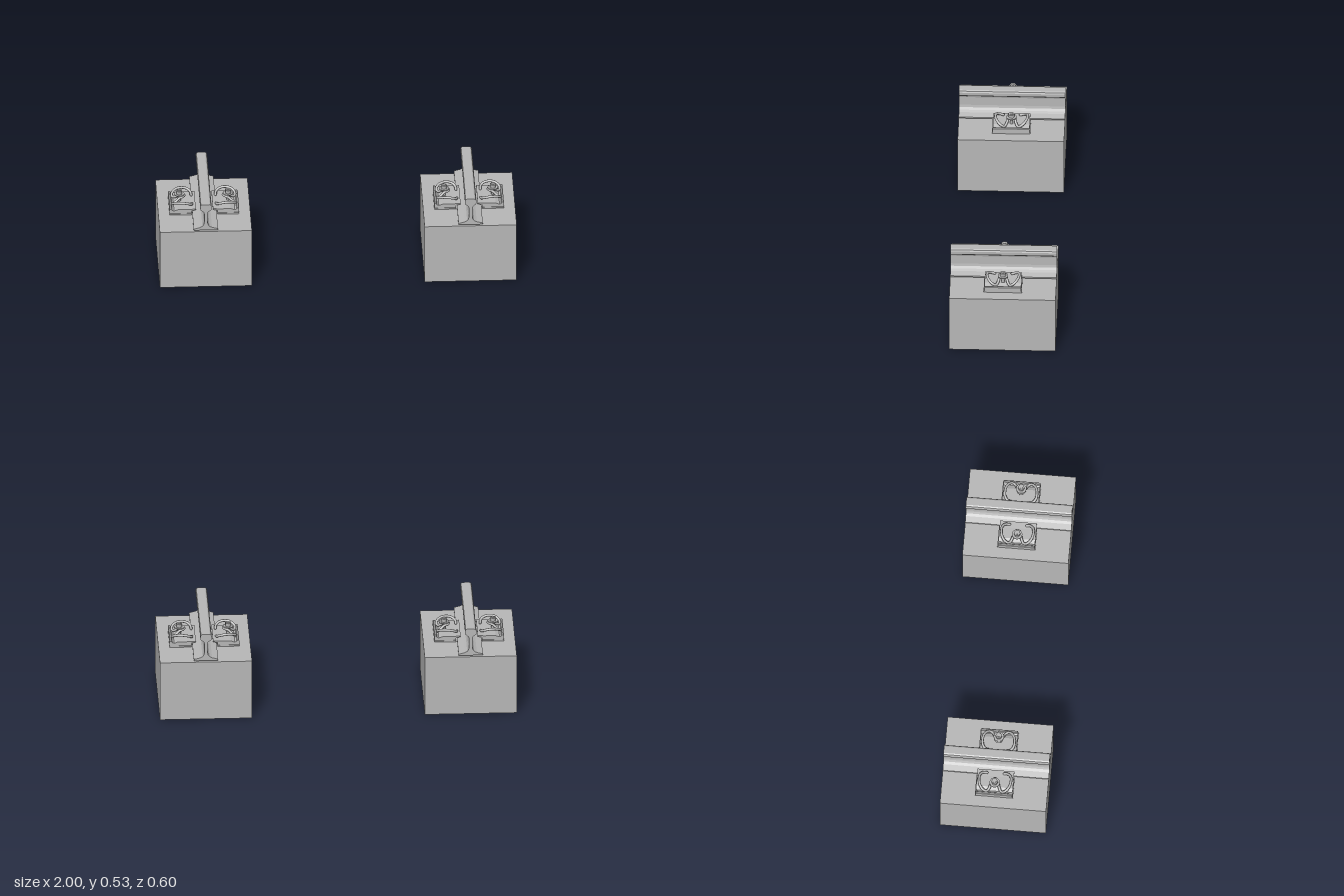
import * as THREE from 'three';

const LENGTH = 0.596, BLOCK_H = 0.355, BLOCK_W = 0.516, TRACK_X = 0.742;

export function createModel() {
  const steel = new THREE.MeshStandardMaterial({ color: 0xb8b8b8 });
  steel.name = 'plain grey';

  const add = (parent, name, geometry, x = 0, y = 0, z = 0) => {
    const mesh = new THREE.Mesh(geometry, steel);
    mesh.name = name;
    mesh.position.set(x, y, z);
    parent.add(mesh);
    return mesh;
  };

  // Extrudes a profile of [x, y] points along z, centred on z = 0
  const extrude = (points, depth) => {
    const shape = new THREE.Shape(points.map(([x, y]) => new THREE.Vector2(x, y)));
    return new THREE.ExtrudeGeometry(shape, { depth, bevelEnabled: false }).translate(0, 0, -depth / 2);
  };

  // Rail: right half of the section, foot to head, then mirrored
  const half = [
    [0.068, 0.364], [0.068, 0.372], [0.034, 0.381], [0.02, 0.388], [0.012, 0.4], [0.009, 0.415],
    [0.009, 0.468], [0.012, 0.478], [0.018, 0.484], [0.031, 0.494], [0.032, 0.515], [0.028, 0.523], [0.02, 0.527],
  ];
  const railGeometry = extrude([...half, ...half.map(([x, y]) => [-x, y]).reverse()], LENGTH);

  // Guide plate with an outer lip, a clip groove and a tongue over the rail foot
  const plateGeometry = extrude([
    [0.073, 0.357], [0.195, 0.357], [0.195, 0.389], [0.192, 0.392], [0.184, 0.392], [0.18, 0.384],
    [0.17, 0.38], [0.158, 0.384], [0.148, 0.388], [0.085, 0.388], [0.048, 0.39], [0.048, 0.384], [0.073, 0.378],
  ], 0.206);

  // Spring clip: one arm from its tip on the rail foot to the middle loop, then mirrored
  const arm = [
    [0.068, 0.395, 0.048], [0.071, 0.403, 0.07], [0.088, 0.414, 0.086], [0.115, 0.421, 0.09],
    [0.145, 0.42, 0.085], [0.168, 0.411, 0.071], [0.178, 0.399, 0.052], [0.172, 0.392, 0.037],
    [0.155, 0.4, 0.027], [0.136, 0.416, 0.02], [0.118, 0.421, 0.015],
  ];
  const path = [...arm, [0.109, 0.422, 0], ...arm.map(([x, y, z]) => [x, y, -z]).reverse()]
    .map((p) => new THREE.Vector3(...p));
  const clipGeometry = new THREE.TubeGeometry(new THREE.CatmullRomCurve3(path), 90, 0.0075, 10);
  const tipGeometry = new THREE.SphereGeometry(0.0075, 10, 8);

  const washerGeometry = new THREE.CylinderGeometry(0.029, 0.029, 0.005, 24);
  const nutGeometry = new THREE.CylinderGeometry(0.018, 0.018, 0.02, 6);
  const boltGeometry = new THREE.CylinderGeometry(0.009, 0.009, 0.1, 16);

  const createFastening = () => {
    const g = new THREE.Group();
    g.name = 'railFastening';
    add(g, 'guidePlate', plateGeometry);
    add(g, 'plateBase', new THREE.BoxGeometry(0.122, 0.008, 0.214), 0.134, 0.36);
    add(g, 'springClip', clipGeometry);
    for (const s of [1, -1]) add(g, 'clipTip', tipGeometry, arm[0][0], arm[0][1], s * arm[0][2]);
    add(g, 'washer', washerGeometry, 0.137, 0.431);
    add(g, 'nut', nutGeometry, 0.137, 0.443);
    add(g, 'bolt', boltGeometry, 0.137, 0.407);
    return g;
  };

  // One block with its rail and a fastening on each side
  const createRailSeat = (x) => {
    const g = new THREE.Group();
    g.name = x > 0 ? 'leftRailSeat' : 'rightRailSeat';
    g.position.x = x;
    add(g, 'sleeperBlock', new THREE.BoxGeometry(BLOCK_W, BLOCK_H, LENGTH), 0, BLOCK_H / 2);
    add(g, 'railPad', new THREE.BoxGeometry(0.13, 0.01, 0.2), 0, 0.36);
    add(g, 'rail', railGeometry);
    for (const angle of [0, Math.PI]) {
      const fastening = createFastening();
      fastening.rotation.y = angle;
      g.add(fastening);
    }
    return g;
  };

  const model = new THREE.Group();
  model.name = 'railTrackSection';
  model.add(createRailSeat(TRACK_X), createRailSeat(-TRACK_X));
  return model;
}
